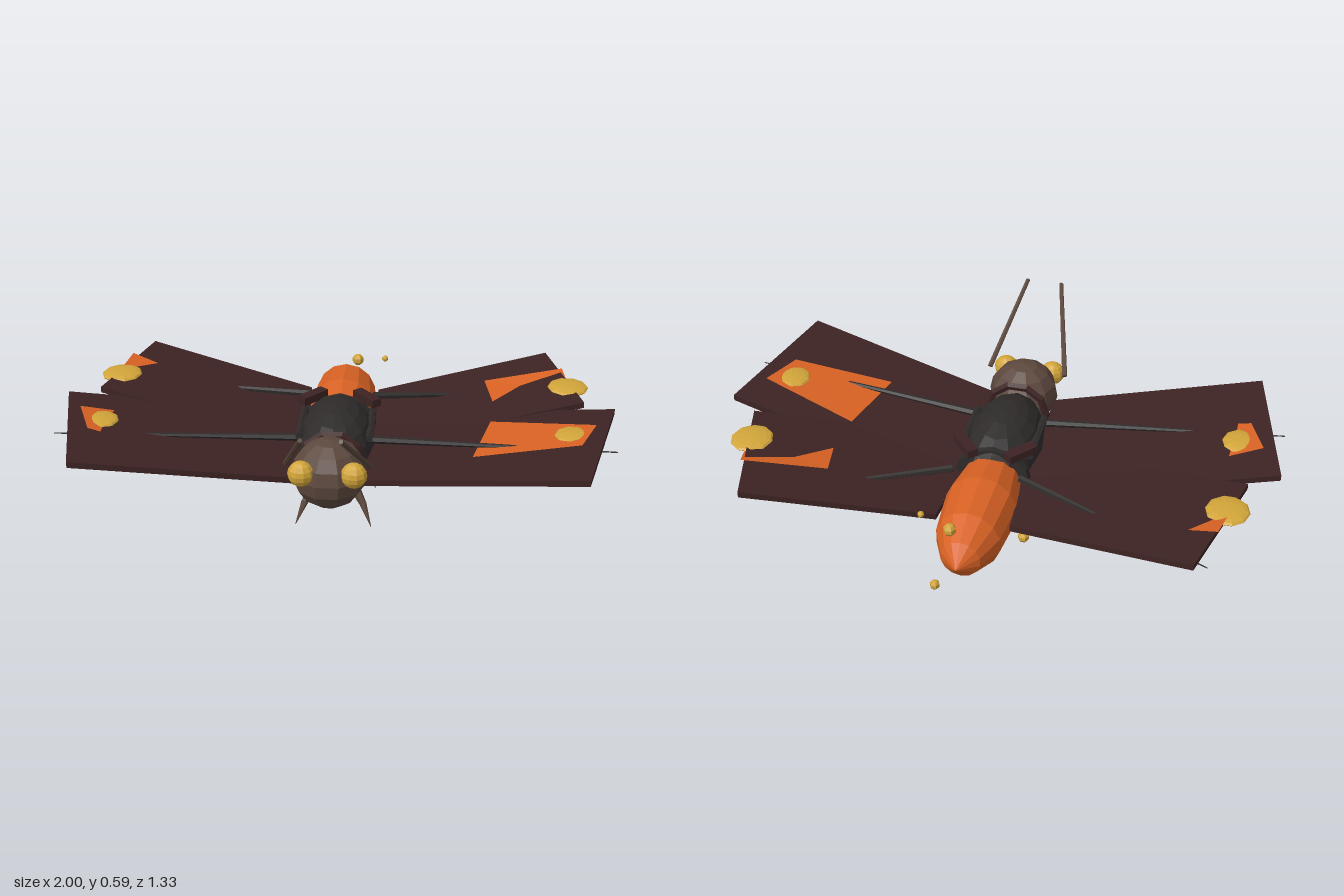
import * as THREE from 'three';

const mat = (name, color, extra = {}) => {
  const m = new THREE.MeshStandardMaterial({ color, flatShading: true, ...extra });
  m.name = name;
  return m;
};

export function createModel() {
  const root = new THREE.Group();
  const maroon = mat('wing maroon', 0x3d2323);
  const charcoal = mat('charcoal', 0x2f2b2b);
  const brown = mat('brown', 0x5c483e);
  const orange = mat('orange', 0xd96224);
  const patchOrange = mat('patch orange', 0xd96224, { side: THREE.DoubleSide });
  const gold = mat('gold', 0xd2a53a);

  const add = (name, geo, material) => {
    const m = new THREE.Mesh(geo, material);
    m.name = name;
    root.add(m);
    return m;
  };
  const ball = (name, p, s, material, w = 10, h = 8) => {
    const m = add(name, new THREE.SphereGeometry(1, w, h), material);
    m.position.set(...p);
    m.scale.set(...s);
    return m;
  };
  // Tapered rod between two points
  const rod = (name, a, b, r0, r1, material) => {
    const A = new THREE.Vector3(...a), d = new THREE.Vector3(...b).sub(A);
    const m = add(name, new THREE.CylinderGeometry(r1, r0, d.length(), 6), material);
    m.position.copy(A).addScaledVector(d, 0.5);
    m.quaternion.setFromUnitVectors(new THREE.Vector3(0, 1, 0), d.normalize());
  };

  // Body
  ball('thorax', [0, 0.268, 0.02], [0.14, 0.152, 0.25], charcoal, 12, 10);
  ball('head', [0, 0.3, 0.32], [0.13, 0.126, 0.126], brown, 10, 8);
  const profile = [[0, 0.1], [0.075, 0.115], [0.11, 0.16], [0.135, 0.32], [0.118, 0.5], [0.072, 0.6], [0, 0.66]]
    .map(([r, z]) => new THREE.Vector2(r, z));
  const abdomen = add('abdomen', new THREE.LatheGeometry(profile, 14), orange);
  abdomen.rotation.x = -Math.PI / 2;
  abdomen.position.y = 0.235;
  abdomen.scale.x = 0.97;

  // Rings around the waist and neck
  const waist = add('waistRing', new THREE.CylinderGeometry(0.142, 0.142, 0.03, 12), charcoal);
  waist.rotation.x = Math.PI / 2;
  waist.position.set(0, 0.235, -0.155);
  const neck = add('neckRing', new THREE.TorusGeometry(0.11, 0.015, 5, 10), maroon);
  neck.position.set(0, 0.285, 0.215);

  // Wings: four plan corners [x, z], and a plane that rises along the outward axis
  const wings = [
    { name: 'frontWing', outer: [[1, -0.085], [0.875, 0.48]], inner: [[0.1, -0.26], [0.12, 0.325]],
      height: (x, z) => 0.2386 + 0.143 * (0.98 * x + 0.19 * z) },
    { name: 'hindWing', outer: [[0.775, -0.61], [0.895, -0.15]], inner: [[0.13, -0.44], [0.1, 0.04]],
      height: (x, z) => 0.227 + 0.157 * (0.97 * x - 0.25 * z) },
  ];
  const thick = 0.022;
  const buildWing = (w, s) => {
    const geo = new THREE.BoxGeometry(1, 1, 1);
    const p = geo.attributes.position;
    for (let i = 0; i < p.count; i++) {
      const edge = p.getX(i) * s > 0 ? w.outer : w.inner;
      const [x, z] = edge[p.getZ(i) > 0 ? 1 : 0];
      p.setXYZ(i, s * x, w.height(x, z) + p.getY(i) * thick, z);
    }
    geo.computeVertexNormals();
    add(w.name, geo, maroon);
  };

  // Orange patches: tilted sheets that pass partly through the wing
  const patchPlans = [
    [[0.555, -0.065], [0.925, 0.05], [0.865, 0.205], [0.49, 0.22]],
    [[0.535, -0.38], [0.83, -0.445], [0.86, -0.29], [0.565, -0.235]],
  ];
  const lifts = {
    1: [[0.016, 0.016, 0.014, 0.014], [0.03, 0.015, -0.016, 0.011]],
    [-1]: [[-0.018, 0.024, 0.016, -0.025], [-0.016, 0.025, 0.008, -0.035]],
  };
  const buildPatch = (k, s) => {
    const pts = patchPlans[k].flatMap(([x, z], i) => [s * x, wings[k].height(x, z) + lifts[s][k][i], z]);
    const geo = new THREE.BufferGeometry();
    geo.setAttribute('position', new THREE.Float32BufferAttribute(pts, 3));
    geo.setIndex(s > 0 ? [0, 2, 1, 0, 3, 2] : [0, 1, 2, 0, 2, 3]);
    geo.computeVertexNormals();
    add('wingPatch', geo, patchOrange);
  };

  for (const s of [1, -1]) {
    wings.forEach((w, k) => {
      buildWing(w, s);
      buildPatch(k, s);
    });

    // Gold wing spots
    ball('frontWingSpot', [s * 0.845, 0.366, 0.105], [0.07, 0.016, 0.072], gold);
    ball('hindWingSpot', [s * 0.845, 0.372, -0.3], [0.076, 0.016, 0.08], gold);

    // Wing spines
    rod('frontSpine', [s * 0.13, 0.325, 0.105], [s * 0.99, 0.352, 0.195], 0.014, 0.002, charcoal);
    rod('hindSpine', [s * 0.12, 0.335, -0.25], [s * 0.81, 0.265, -0.48], 0.014, 0.002, charcoal);

    // Shoulder ridges and wing roots
    rod('shoulderRidge', [s * 0.125, 0.335, 0.12], [s * 0.125, 0.335, -0.12], 0.014, 0.014, charcoal);
    const wingRoot = add('wingRoot', new THREE.BoxGeometry(0.04, 0.03, 0.12), maroon);
    wingRoot.position.set(s * 0.1, 0.37, -0.15);
    wingRoot.rotation.y = s * 0.7;

    // Eyes and antennae
    ball('eye', [s * 0.09, 0.338, 0.412], [0.046, 0.046, 0.04], gold);
    rod('antenna', [s * 0.145, 0.355, 0.375], [s * 0.065, 0.585, 0.66], 0.01, 0.008, brown);

    // Curved legs
    for (const [z0, z1, z2] of [[0.1, 0.13, 0.163], [-0.095, -0.115, -0.142]]) {
      rod('upperLeg', [s * 0.06, 0.155, z0], [s * 0.105, 0.08, z1], 0.022, 0.013, brown);
      rod('lowerLeg', [s * 0.105, 0.08, z1], [s * 0.137, 0.002, z2], 0.013, 0.001, brown);
    }
  }

  // Small gold beads floating around the tail
  const beads = [
    [0.04, 0.34, -0.58, 0.023], [0.08, 0.14, -0.64, 0.018],
    [0.148, 0.36, -0.55, 0.012], [-0.17, 0.205, -0.4, 0.021],
  ];
  for (const [x, y, z, r] of beads) ball('bead', [x, y, z], [r, r, r], gold, 6, 5);

  return root;
}
